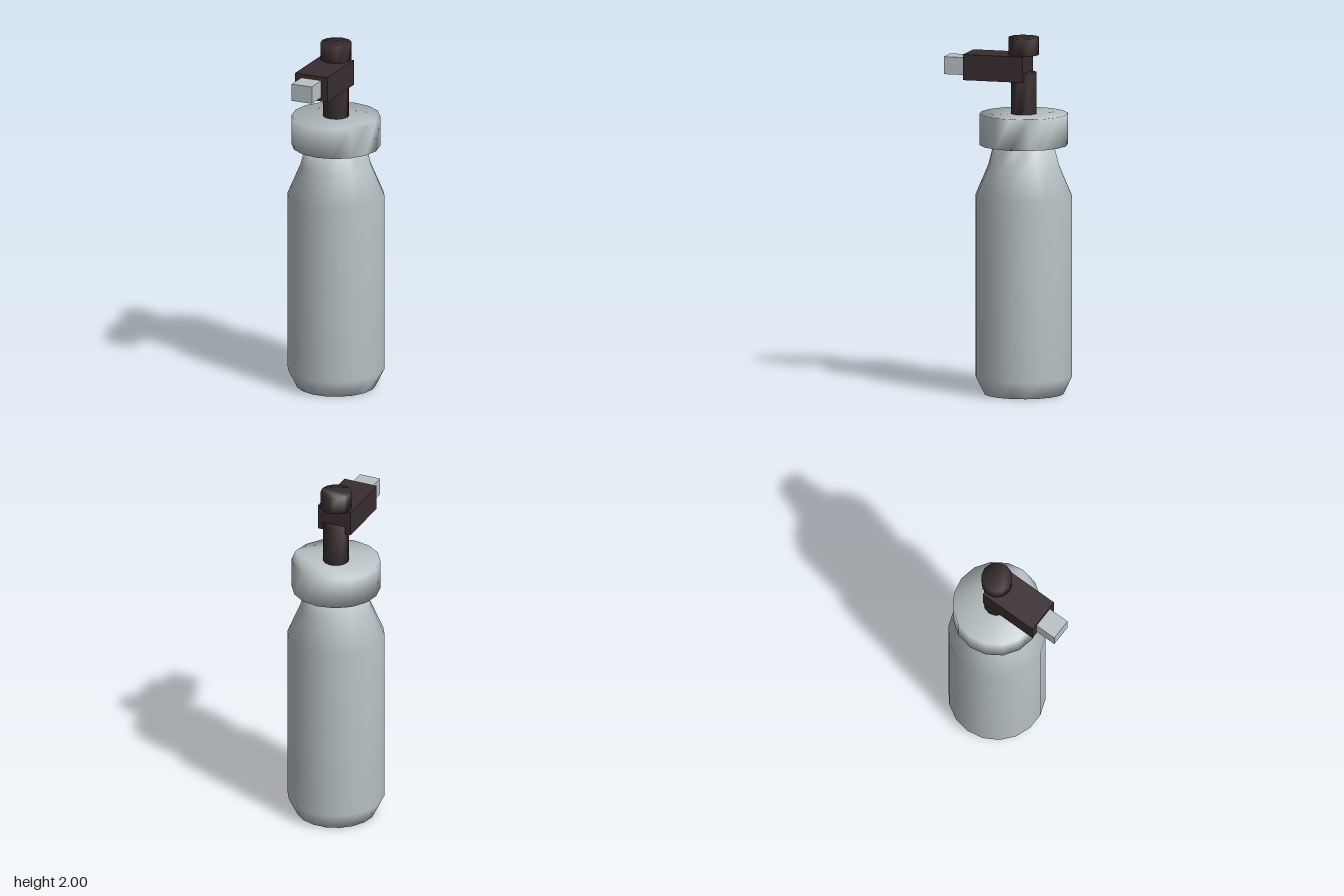
import * as THREE from 'three';

const paleGrey = new THREE.MeshStandardMaterial({ color: 0xb8c2c4 });
paleGrey.name = 'paleGrey';
const darkBrown = new THREE.MeshStandardMaterial({ color: 0x382d2e });
darkBrown.name = 'darkBrown';

const AXIS_Z = -0.09; // the bottle's axis sits behind the centre

// Closed turned solid from [radius, y] rings, smooth over every edge, with fan caps
function turned(rings, sides) {
  const pos = [], index = [];
  for (const [r, y] of rings) {
    for (let i = 0; i < sides; i++) {
      const a = (i / sides) * Math.PI * 2;
      pos.push(r * Math.cos(a), y, r * Math.sin(a));
    }
  }
  for (let k = 0; k < rings.length - 1; k++) {
    for (let i = 0; i < sides; i++) {
      const j = (i + 1) % sides;
      const a = k * sides + i, b = k * sides + j;
      index.push(a, a + sides, b, b, a + sides, b + sides);
    }
  }
  const top = (rings.length - 1) * sides;
  for (let i = 1; i < sides - 1; i++) {
    index.push(0, i, i + 1);
    index.push(top, top + i + 1, top + i);
  }
  const g = new THREE.BufferGeometry();
  g.setAttribute('position', new THREE.Float32BufferAttribute(pos, 3));
  g.setIndex(index);
  g.computeVertexNormals();
  return g;
}

export function createModel() {
  const model = new THREE.Group();
  model.name = 'pumpBottle';

  const addTurned = (name, rings, sides, material) => {
    const mesh = new THREE.Mesh(turned(rings, sides), material);
    mesh.name = name;
    mesh.position.z = AXIS_Z;
    model.add(mesh);
  };
  const addBox = (name, width, y0, y1, z0, z1, material) => {
    const mesh = new THREE.Mesh(new THREE.BoxGeometry(width, y1 - y0, z1 - z0), material);
    mesh.name = name;
    mesh.position.set(0, (y0 + y1) / 2, (z0 + z1) / 2);
    model.add(mesh);
  };

  // Body and screw collar
  addTurned('bottle', [[0.222, 0], [0.271, 0.1], [0.271, 1.11], [0.197, 1.285], [0.172, 1.387]], 18, paleGrey);
  addTurned('collar', [[0.246, 1.397], [0.246, 1.572]], 16, paleGrey);

  // Pump: stem, head, press button and nozzle
  addTurned('stem', [[0.073, 1.56], [0.073, 1.803]], 12, darkBrown);
  addBox('pumpHead', 0.198, 1.758, 1.902, -0.113, 0.232, darkBrown);
  addTurned('button', [[0.086, 1.902], [0.086, 2]], 12, darkBrown);
  addBox('nozzle', 0.123, 1.781, 1.879, 0.23, 0.355, paleGrey);

  return model;
}
